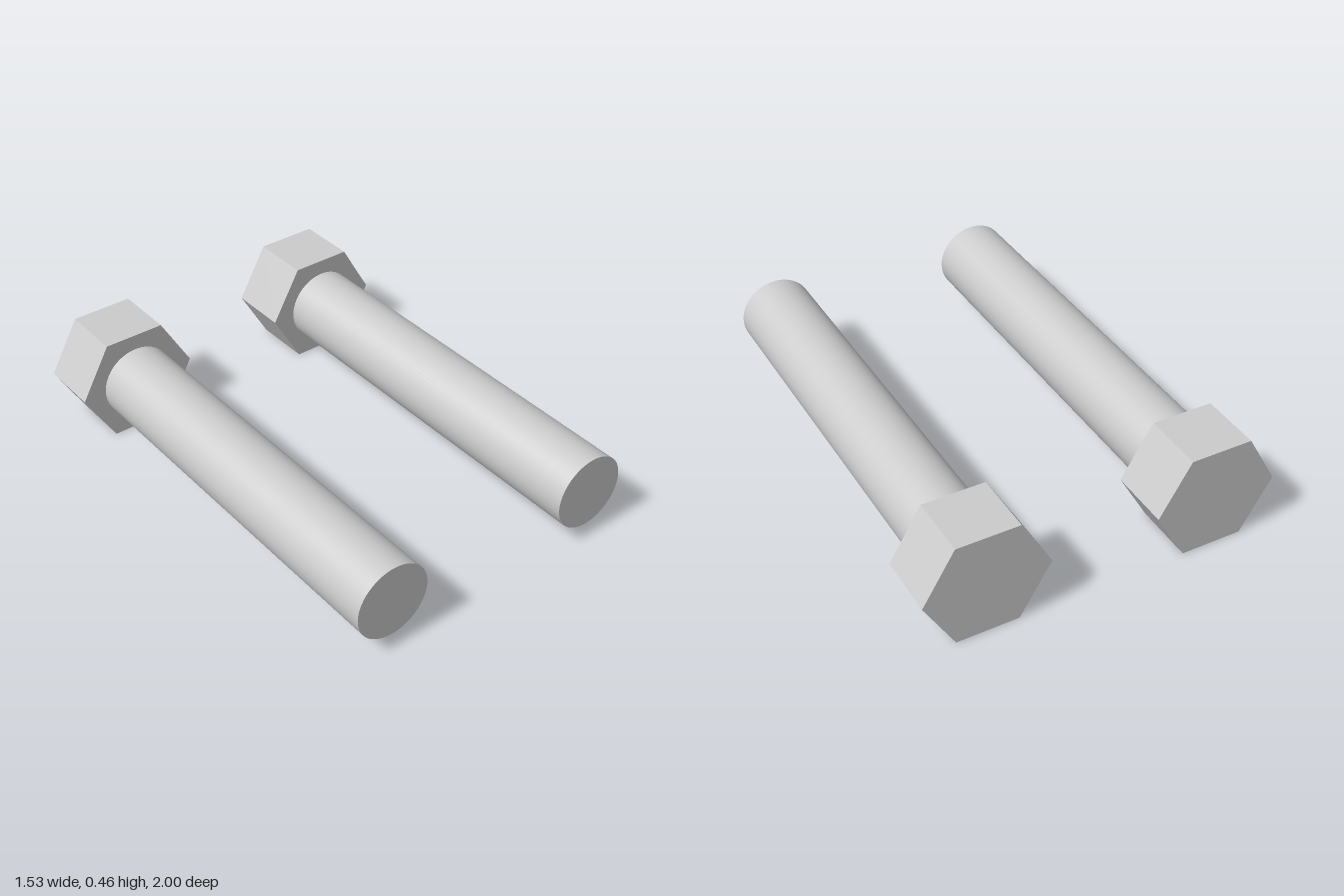
import * as THREE from 'three';

const HEAD_RADIUS = 0.267;                              // corner radius of the hexagon
const HEAD_DEPTH = 0.267;
const SHAFT_RADIUS = 0.163;
const AXIS_HEIGHT = HEAD_RADIUS * Math.cos(Math.PI / 6); // head rests on one flat

// Cylinder lying along z between two depths
function rod(radius, zBack, zFront, sides) {
  return new THREE.CylinderGeometry(radius, radius, zFront - zBack, sides, 1, false, Math.PI / 2)
    .rotateX(Math.PI / 2)
    .translate(0, 0, (zBack + zFront) / 2);
}

function createBolt(name) {
  const bolt = new THREE.Group();
  bolt.name = name;

  // Hexagonal head at the back, corners pointing sideways
  const head = new THREE.Mesh(
    rod(HEAD_RADIUS, -1, -1 + HEAD_DEPTH, 6),
    new THREE.MeshStandardMaterial({ color: 0xcccccc, flatShading: true })
  );
  head.name = 'hexHead';

  // Smooth round shaft reaching forward from the head
  const shaft = new THREE.Mesh(
    rod(SHAFT_RADIUS, -1 + HEAD_DEPTH, 1, 64),
    new THREE.MeshStandardMaterial({ color: 0xcccccc })
  );
  shaft.name = 'shaft';

  bolt.add(head, shaft);
  return bolt;
}

export function createModel() {
  const model = new THREE.Group();
  model.name = 'boltPair';
  // Two identical bolts side by side
  for (const [name, x] of [['rightBolt', -0.5], ['leftBolt', 0.5]]) {
    const bolt = createBolt(name);
    bolt.position.set(x, AXIS_HEIGHT, 0);
    model.add(bolt);
  }
  return model;
}
